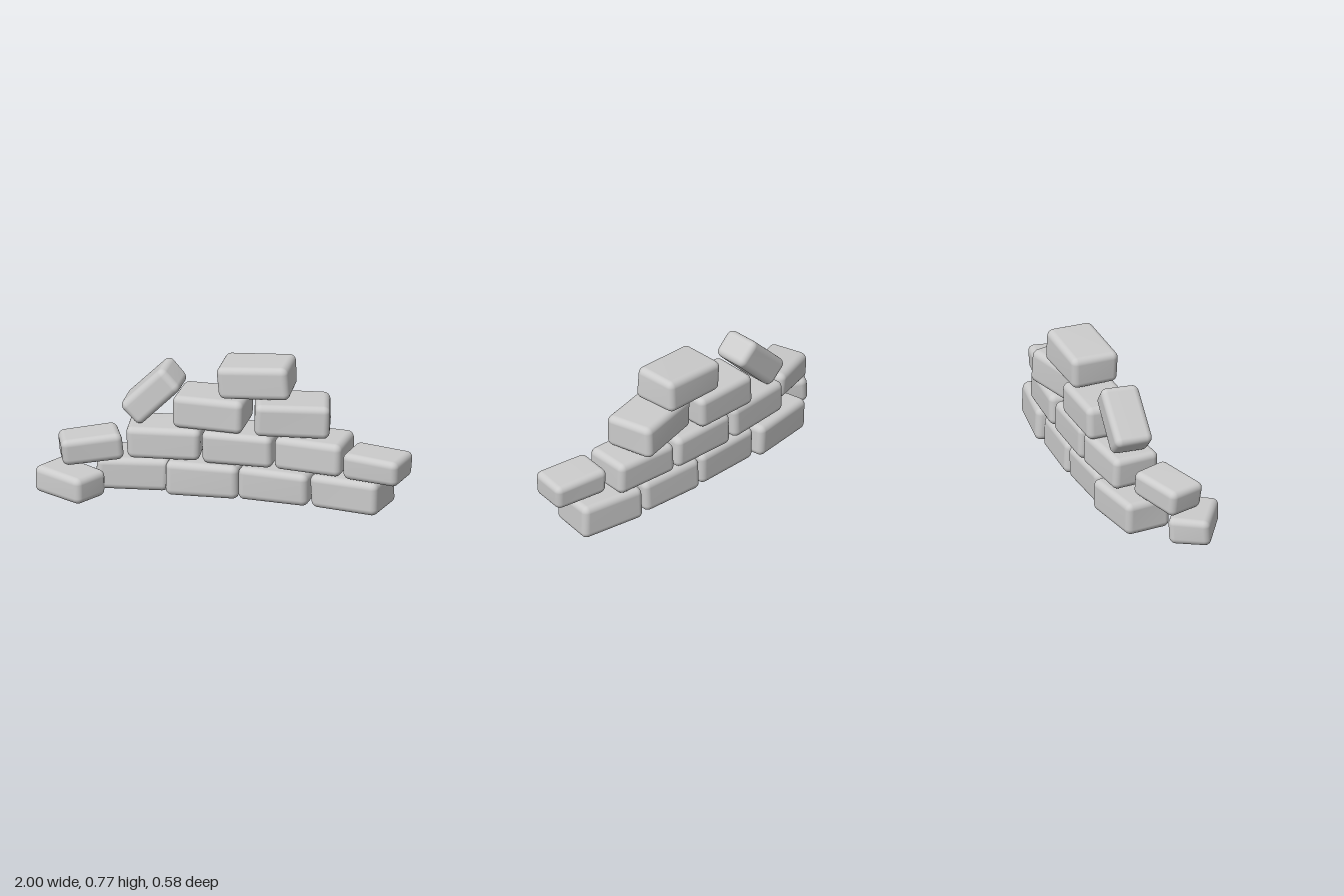
import * as THREE from 'three';
import { mergeVertices } from 'three/addons/utils/BufferGeometryUtils.js';
import { RoundedBoxGeometry } from 'three/addons/geometries/RoundedBoxGeometry.js';

const material = new THREE.MeshStandardMaterial({ color: 0xcccccc });

// small seeded generator, returns -1..1
function seeded(seed) {
  let s = seed * 7919 + 17;
  return () => {
    s = (s * 16807) % 2147483647;
    return (s / 2147483647) * 2 - 1;
  };
}

// rounded stone whose eight corners are each nudged a little
function stoneGeometry(w, h, d, seed) {
  const rand = seeded(seed);
  for (let i = 0; i < 5; i++) rand();
  const corners = Array.from({ length: 8 }, () =>
    new THREE.Vector3(rand() * 0.007, rand() * 0.004, rand() * 0.007));
  let geo = new RoundedBoxGeometry(w, h, d, 5, 0.036);
  geo.deleteAttribute('uv');
  geo.deleteAttribute('normal');
  geo = mergeVertices(geo, 1e-4);
  const pos = geo.attributes.position;
  const p = new THREE.Vector3();
  for (let i = 0; i < pos.count; i++) {
    p.fromBufferAttribute(pos, i);
    const t = [p.x / w + 0.5, p.y / h + 0.5, p.z / d + 0.5];
    corners.forEach((c, k) => {
      const weight = t.reduce((a, v, axis) => a * ((k >> axis) & 1 ? v : 1 - v), 1);
      p.addScaledVector(c, weight);
    });
    pos.setXYZ(i, p.x, p.y, p.z);
  }
  geo.computeVertexNormals();
  return geo;
}

// each stone: centre x, y, z, width, height, depth, yaw, roll
const courses = {
  bottomCourse: [
    [-0.52, 0.097, -0.115, 0.39, 0.182, 0.26, 0.14, 0],
    [-0.123, 0.097, -0.11, 0.395, 0.186, 0.26, 0.02, 0],
    [0.27, 0.097, -0.115, 0.385, 0.182, 0.26, -0.05, 0],
    [0.675, 0.097, -0.09, 0.385, 0.186, 0.275, -0.16, 0],
  ],
  secondCourse: [
    [-0.348, 0.289, -0.11, 0.395, 0.18, 0.26, 0.09, 0.015],
    [0.062, 0.286, -0.125, 0.39, 0.182, 0.26, 0, 0],
    [0.46, 0.288, -0.11, 0.375, 0.178, 0.27, -0.07, -0.015],
  ],
  thirdCourse: [
    [-0.1, 0.47, -0.137, 0.385, 0.182, 0.27, -0.02, 0],
    [0.34, 0.478, -0.12, 0.4, 0.184, 0.275, 0.2, -0.015],
  ],
  capStone: [[0.145, 0.668, -0.137, 0.385, 0.178, 0.268, 0.03, 0.05]],
  looseStones: [
    [-0.817, 0.083, 0.125, 0.325, 0.148, 0.225, -0.53, 0],
    [-0.735, 0.253, 0.008, 0.325, 0.148, 0.22, 0.36, 0.09],
    [0.83, 0.271, -0.028, 0.325, 0.146, 0.225, -0.17, -0.02],
    [-0.414, 0.54, -0.113, 0.335, 0.155, 0.212, 0, 0.79],
  ],
};

export function createModel() {
  const wall = new THREE.Group();
  wall.name = 'ruinedStoneWall';
  let seed = 1;
  for (const [name, stones] of Object.entries(courses)) {
    const course = new THREE.Group();
    course.name = name;
    stones.forEach(([x, y, z, w, h, d, yaw, roll], i) => {
      const stone = new THREE.Mesh(stoneGeometry(w, h, d, seed++), material);
      stone.name = `${name}Stone${i + 1}`;
      stone.position.set(x, y, z);
      stone.rotation.set(0, yaw, roll);
      course.add(stone);
    });
    wall.add(course);
  }
  return wall;
}
